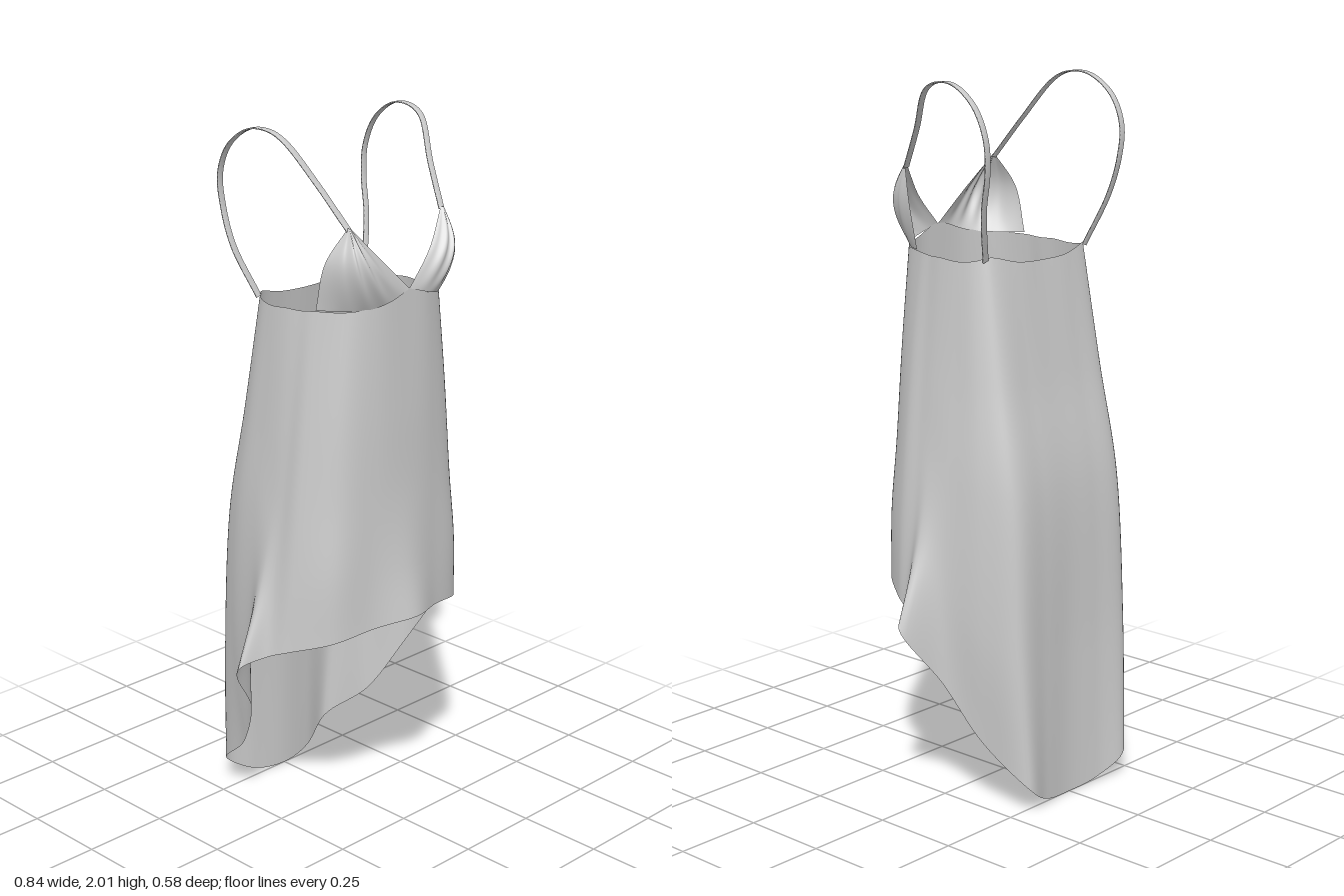
import * as THREE from 'three';
import { mergeVertices } from 'three/addons/utils/BufferGeometryUtils.js';

const V = (p) => new THREE.Vector3(...p);
const fabric = new THREE.MeshStandardMaterial({ color: 0xcccccc, side: THREE.DoubleSide });

// Smooth surface through a grid of points: rows run downward, columns sideways.
function surface(name, rows, cols, pointAt) {
  const pos = [], index = [];
  for (let j = 0; j <= rows; j++) {
    for (let i = 0; i <= cols; i++) {
      pos.push(...pointAt(i / cols, j / rows).toArray());
      if (j === rows || i === cols) continue;
      const a = j * (cols + 1) + i, b = a + cols + 1;
      index.push(a, b, a + 1, a + 1, b, b + 1);
    }
  }
  let geo = new THREE.BufferGeometry();
  geo.setAttribute('position', new THREE.Float32BufferAttribute(pos, 3));
  geo.setIndex(index);
  geo = mergeVertices(geo, 1e-5);
  geo.computeVertexNormals();
  const mesh = new THREE.Mesh(geo, fabric);
  mesh.name = name;
  return mesh;
}

// Fall lines of the cloth on one half, neckline to hem, front centre to back centre.
const frontFalls = [
  [[.012, 1.58, .238], [.005, 1.25, .245], [0, 1, .25], [0, .8, .268], [0, .65, .292]],
  [[.1, 1.55, .232], [.11, 1.25, .236], [.115, 1, .238], [.12, .8, .243], [.12, .638, .25]],
  [[.175, 1.54, .195], [.203, 1.25, .2], [.22, 1, .205], [.238, .8, .21], [.245, .615, .207]],
  [[.217, 1.535, .11], [.253, 1.25, .115], [.282, 1, .115], [.305, .78, .113], [.323, .582, .105]],
];
const sideFalls = [
  [[.225, 1.53, .065], [.26, 1.22, .06], [.289, .97, .055], [.318, .76, .052], [.35, .56, .05]],
  [[.231, 1.53, .02], [.264, 1.2, .015], [.293, .95, .012], [.335, .75, .012], [.418, .53, .01]],
  [[.229, 1.525, -.04], [.258, 1.2, -.05], [.284, .95, -.06], [.305, .65, -.06], [.312, .36, -.053]],
];
const backFalls = [
  [[.217, 1.53, -.09], [.243, 1.2, -.125], [.264, .9, -.16], [.27, .5, -.17], [.256, .195, -.15]],
  [[.19, 1.54, -.122], [.2, 1.2, -.18], [.212, .9, -.235], [.218, .45, -.262], [.205, .075, -.283]],
  [[.1, 1.52, -.14], [.1, 1.2, -.188], [.1, .9, -.24], [.105, .4, -.255], [.11, .015, -.263]],
  [[0, 1.515, -.14], [0, 1.2, -.188], [0, .9, -.238], [0, .4, -.246], [0, 0, -.25]],
];

function makeBody() {
  const half = [...frontFalls, ...sideFalls, ...backFalls];
  const mirrored = half.slice(1, -1).reverse().map((f) => f.map(([x, y, z]) => [-x, y, z]));
  const falls = [...half, ...mirrored].map((f) => new THREE.CatmullRomCurve3(f.map(V)));
  const rings = new Map();
  return surface('dressBody', 60, 160, (u, v) => {
    if (!rings.has(v)) rings.set(v, new THREE.CatmullRomCurve3(falls.map((f) => f.getPoint(v)), true));
    return rings.get(v).getPoint(u);
  });
}

// Triangular gathered cup between its neckline edge and its armhole edge.
function makeCup(side, tip, name) {
  const neck = .014 * side;
  const inner = new THREE.CatmullRomCurve3(
    [[tip - .004, 1.762, .186], [(tip + neck) / 2 + .004, 1.668, .222], [neck, 1.578, .238]].map(V));
  const outer = new THREE.CatmullRomCurve3([[tip + .004, 1.762, .186], [.217, 1.67, .152], [.22, 1.54, .12]].map(V));
  return surface(name, 28, 48, (u, v) => {
    const s = side > 0 ? u : 1 - u;
    const p = inner.getPoint(v).lerp(outer.getPoint(v), s);
    const across = Math.sin(Math.PI * s);
    const swell = across * (.055 * Math.sin(Math.PI * Math.min(1, .04 + v * .76)) + .022 * v);
    const gather = .005 * across * Math.sin(Math.PI * v) * Math.sin(s * 30 + v * 3);
    p.x += swell * .3;
    p.z += swell * .9 + gather;
    p.y -= .015 * across * v;
    p.x *= side;
    return p;
  });
}

// Flat ribbon looping over the shoulder from cup tip to back neckline.
function makeStrap(side, tip, reach, name) {
  const path = new THREE.CatmullRomCurve3([
    [tip, 1.755, .186], [tip * .55 + (reach - .018) * .45, 1.87, .108], [reach - .02, 1.975, .035],
    [reach - .011, 2, -.015], [reach - .005, 1.997, -.085], [reach, 1.945, -.16], [reach - .001, 1.865, -.198],
    [reach - .008, 1.78, -.198], [reach * .5 + .117, 1.67, -.166], [.203, 1.53, -.117],
  ].map(([x, y, z]) => V([x * side, y, z])));
  const corners = [[-1, -1], [1, -1], [1, 1], [-1, 1], [-1, -1]];
  return surface(name, 70, 4, (u, v) => {
    const t = path.getTangent(v);
    const wide = V([1, 0, 0]).addScaledVector(t, -t.x).normalize();
    const thick = wide.clone().cross(t);
    const [a, b] = corners[Math.round(u * 4)];
    return path.getPoint(v).addScaledVector(wide, a * .009).addScaledVector(thick, -b * .002);
  });
}

export function createModel() {
  const dress = new THREE.Group();
  dress.name = 'slipDress';
  dress.add(
    makeBody(),
    makeCup(1, .192, 'leftCup'),
    makeCup(-1, .163, 'rightCup'),
    makeStrap(1, .192, .291, 'leftStrap'),
    makeStrap(-1, .163, .263, 'rightStrap'),
  );
  return dress;
}
